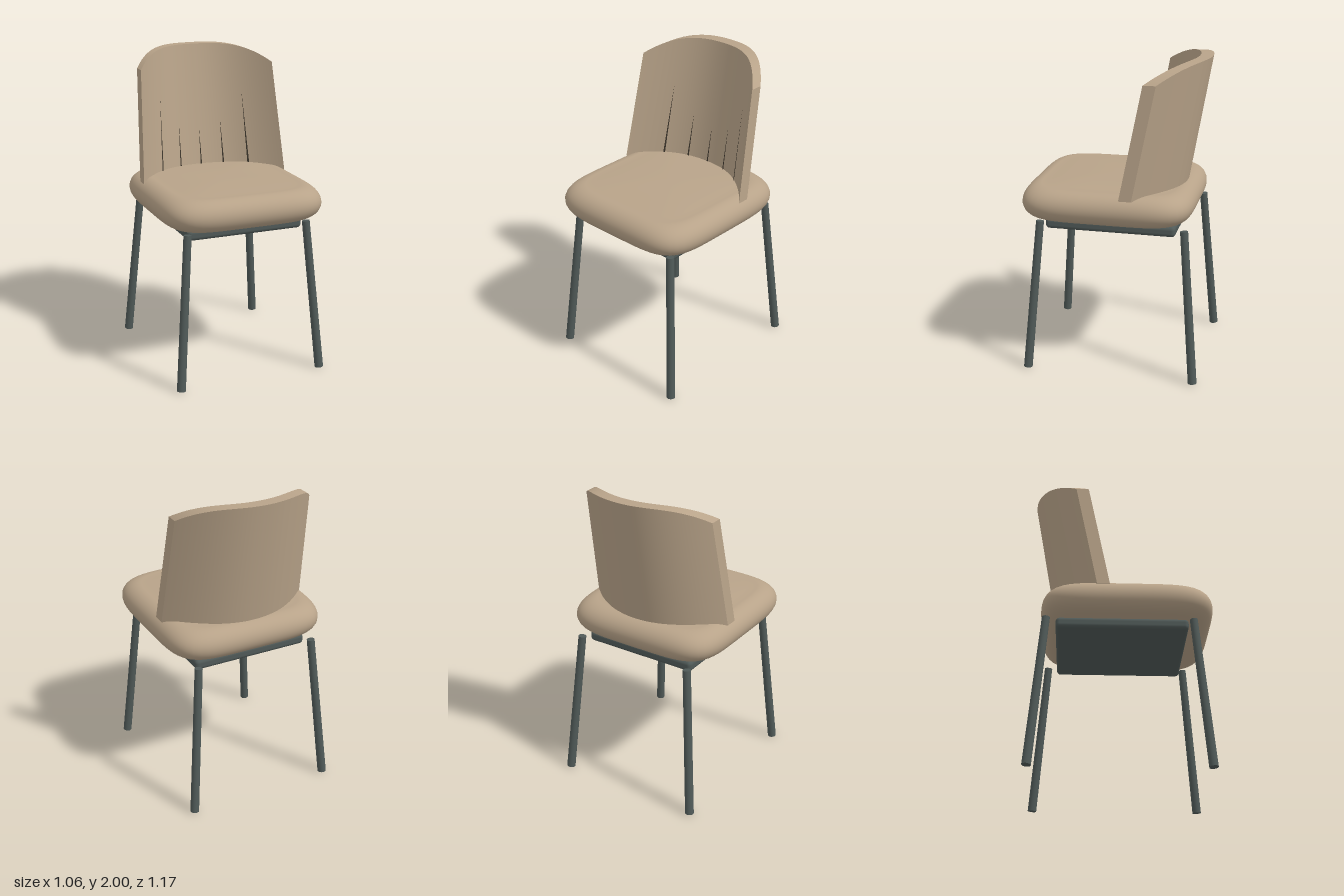
import * as THREE from 'three';
import { ParametricGeometry } from 'three/addons/geometries/ParametricGeometry.js';
import { RoundedBoxGeometry } from 'three/addons/geometries/RoundedBoxGeometry.js';

export function createModel() {
  const group = new THREE.Group();
  const fabric = new THREE.MeshStandardMaterial({ color: 0xb8a389 });
  fabric.name = 'beige fabric';
  const metal = new THREE.MeshStandardMaterial({ color: 0x505a58 });
  metal.name = 'dark grey metal';
  const seam = new THREE.MeshStandardMaterial({ color: 0x3d362c, side: THREE.DoubleSide });
  seam.name = 'dark seam';

  const add = (name, geometry, material, parent = group) => {
    const mesh = new THREE.Mesh(geometry, material);
    mesh.name = name;
    parent.add(mesh);
    return mesh;
  };

  // Seat cushion: rounded-square rings along a pillow profile, bottom to top
  const RIM = 0.11;
  const seatPoint = (u, v, target) => {
    const a = u * Math.PI * 2, c = Math.cos(a), s = Math.sin(a);
    const r = Math.pow(Math.abs(c) ** 5 + Math.abs(s) ** 5, -1 / 5);
    let inset = 0, y, k = 1;
    if (v < 0.2) {
      inset = RIM; y = 1.0;
      k = Math.max(v / 0.2, 0.002);
    } else if (v > 0.8) {
      inset = RIM;
      k = Math.max((1 - v) / 0.2, 0.002);
      y = 1.205 + 0.015 * (1 - k * k);
    } else {
      const phi = ((v - 0.5) / 0.6) * Math.PI;
      inset = RIM * (1 - Math.cos(phi));
      y = 1.1025 + 0.1025 * Math.sin(phi);
    }
    target.set(c * r * k * (0.53 - inset), y, 0.037 - s * r * k * (0.548 - inset));
  };
  add('seatCushion', new ParametricGeometry(seatPoint, 96, 40), fabric);

  // Backrest: curved, leaning shell; u runs -1..1 across, t 0..1 up, d 0..1 front to back
  const BASE = 1.18;
  const shell = (u, t, d, target) => {
    const top = 2 - 0.11 * u ** 4;
    const h = t * (top - BASE);
    const z = -0.345 - 0.175 * h + (0.265 - 0.02 * h) * Math.abs(u) ** 2.2;
    return target.set(u * (0.495 - 0.055 * h), BASE + h, z - 0.08 * d);
  };
  const backrest = new THREE.Group();
  backrest.name = 'backrest';
  group.add(backrest);
  const faces = {
    backrestFront: [(u, v, p) => shell(2 * u - 1, v, 0, p), 40, 12],
    backrestRear: [(u, v, p) => shell(1 - 2 * u, v, 1, p), 40, 12],
    backrestTopEdge: [(u, v, p) => shell(2 * u - 1, 1, v, p), 40, 1],
    backrestBottomEdge: [(u, v, p) => shell(1 - 2 * u, 0, v, p), 40, 1],
    backrestLeftEdge: [(u, v, p) => shell(1, v, u, p), 1, 12],
    backrestRightEdge: [(u, v, p) => shell(-1, v, 1 - u, p), 1, 12],
  };
  for (const [name, [fn, nu, nv]] of Object.entries(faces)) {
    add(name, new ParametricGeometry(fn, nu, nv), fabric, backrest);
  }

  // Thin tapering seams on the inside of the backrest
  for (const [u0, height] of [[-0.62, 0.5], [-0.31, 0.32], [0, 0.26], [0.31, 0.32], [0.62, 0.5]]) {
    const strip = (u, v, p) => {
      shell(u0 + (u - 0.5) * 0.022 * (1 - 0.95 * v), v * height / 0.82, 0, p);
      p.z += 0.005;
    };
    add('backrestSeam', new ParametricGeometry(strip, 1, 6), seam, backrest);
  }

  // Frame plate under the seat
  const frame = add('seatFrame', new RoundedBoxGeometry(0.77, 0.07, 0.83, 4, 0.025), metal);
  frame.position.set(0, 0.965, 0.002);

  // Four splayed legs
  const up = new THREE.Vector3(0, 1, 0);
  for (const side of [-1, 1]) {
    for (const [name, topZ, footZ] of [['frontLeg', 0.445, 0.525], ['backLeg', -0.472, -0.555]]) {
      const top = new THREE.Vector3(side * 0.398, 0.985, topZ);
      const foot = new THREE.Vector3(side * 0.478, 0.003, footZ);
      const axis = top.clone().sub(foot);
      const leg = add(name, new THREE.CylinderGeometry(0.025, 0.028, axis.length(), 20), metal);
      leg.position.copy(top).add(foot).multiplyScalar(0.5);
      leg.quaternion.setFromUnitVectors(up, axis.normalize());
    }
  }
  return group;
}
